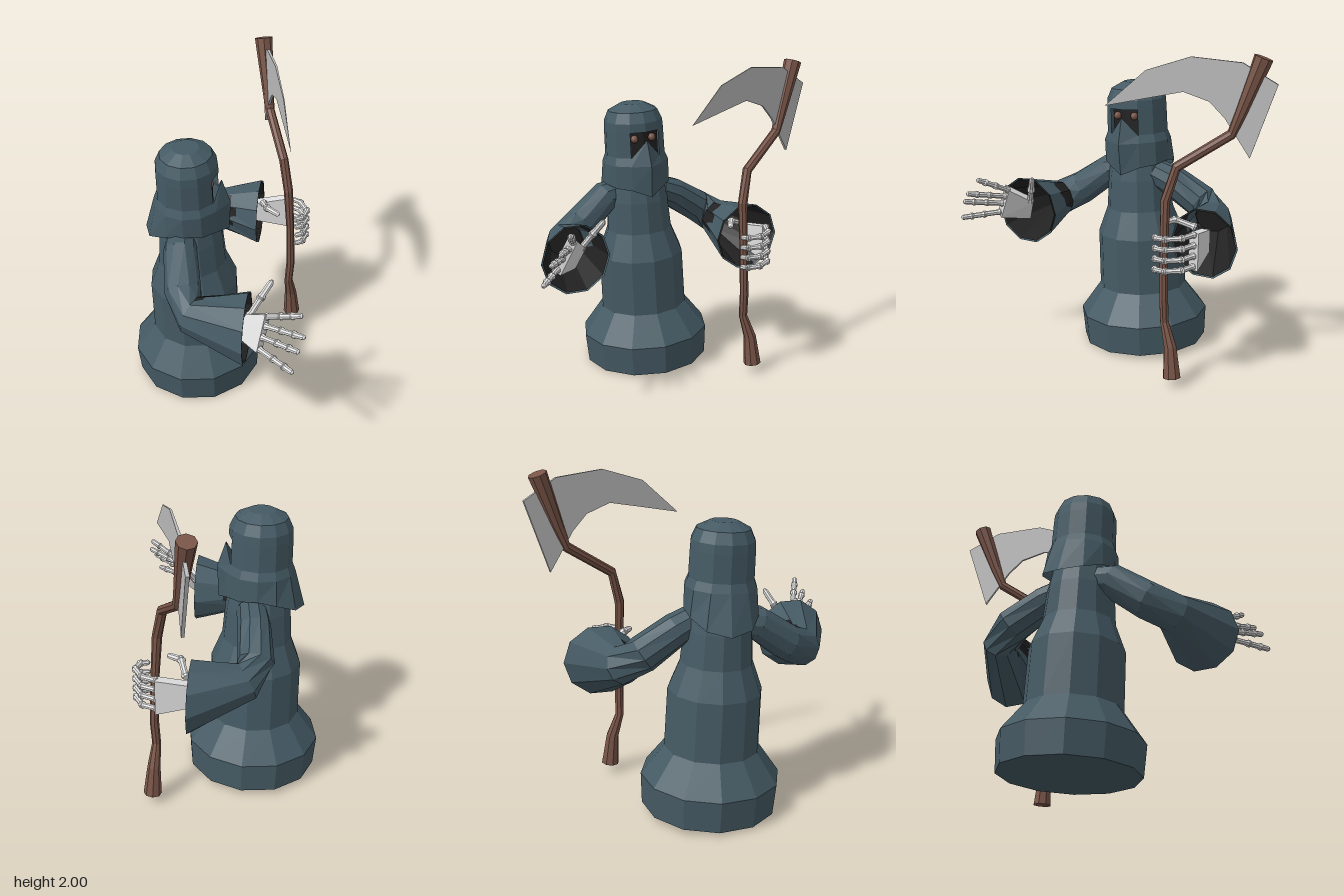
import * as THREE from 'three';
import { ConvexGeometry } from 'three/addons/geometries/ConvexGeometry.js';

const V = (p) => new THREE.Vector3(...p);
const FORWARD = new THREE.Vector3(0.79, 0, -0.61); // the way the figure faces

// Joins rings of points (listed along the axis) into a flat-faced skin
function skin(rings, { start = false, end = false, skip = () => false } = {}) {
  const pos = [];
  const tri = (...pts) => pts.forEach((p) => pos.push(p.x, p.y, p.z));
  const n = rings[0].length;
  for (let i = 0; i < rings.length - 1; i++) {
    for (let j = 0; j < n; j++) {
      if (skip(i, j)) continue;
      const k = (j + 1) % n;
      const [a, b, c, d] = [rings[i][j], rings[i][k], rings[i + 1][k], rings[i + 1][j]];
      tri(a, b, c);
      tri(a, c, d);
    }
  }
  const cap = (ring, flip) => {
    const mid = ring.reduce((s, p) => s.add(p), new THREE.Vector3()).divideScalar(n);
    ring.forEach((p, j) => {
      const q = ring[(j + 1) % n];
      if (flip) tri(mid, q, p);
      else tri(mid, p, q);
    });
  };
  if (start) cap(rings[0], true);
  if (end) cap(rings[rings.length - 1], false);
  const geo = new THREE.BufferGeometry();
  geo.setAttribute('position', new THREE.Float32BufferAttribute(pos, 3));
  geo.computeVertexNormals();
  return geo;
}

// Round tube through [x, y, z, radius] stations; the last ring may face a given way
function tube(stations, sides, ref, caps, lastNormal) {
  const c = stations.map((s) => V(s.slice(0, 3)));
  const rings = stations.map((s, i) => {
    let n = c[Math.min(i + 1, c.length - 1)].clone().sub(c[Math.max(i - 1, 0)]).normalize();
    if (lastNormal && i === c.length - 1) n = lastNormal.clone().normalize();
    const u = new THREE.Vector3().crossVectors(ref, n).normalize();
    const v = new THREE.Vector3().crossVectors(n, u);
    return Array.from({ length: sides }, (_, j) => {
      const a = (j / sides) * Math.PI * 2;
      return c[i].clone().addScaledVector(u, s[3] * Math.cos(a)).addScaledVector(v, s[3] * Math.sin(a));
    });
  });
  return skin(rings, caps);
}

// Twelve-sided ring around y; angle 0 is the front, shape(cos) gives [radius, y]
function ring(shape, offset = 0) {
  return Array.from({ length: 12 }, (_, j) => {
    const a = (j / 12) * Math.PI * 2;
    const [r, y] = shape(Math.cos(a), j);
    return new THREE.Vector3(r * Math.sin(a + offset), y, r * Math.cos(a + offset));
  });
}

export function createModel() {
  const model = new THREE.Group();
  model.name = 'hoodedReaper';
  const material = (name, color, side = THREE.FrontSide) =>
    Object.assign(new THREE.MeshStandardMaterial({ color, side }), { name });
  const cloth = material('clothBlueGrey', 0x455a64, THREE.DoubleSide);
  const dark = material('shadowBlack', 0x212121, THREE.DoubleSide);
  const bone = material('boneWhite', 0xe0e0e0);
  const steel = material('bladeGrey', 0xbdbdbd, THREE.DoubleSide);
  const wood = material('woodBrown', 0x795548);
  const add = (parent, name, geo, mat) => {
    const mesh = new THREE.Mesh(geo, mat);
    mesh.name = name;
    parent.add(mesh);
    return mesh;
  };
  const UP = new THREE.Vector3(0, 1, 0);

  // Robe and hood, leaning slightly
  const figure = new THREE.Group();
  figure.name = 'figure';
  figure.position.set(-0.378, 0.022, 0.22);
  figure.rotation.set(0.04, Math.atan2(FORWARD.x, FORWARD.z), -0.03, 'XZY');
  model.add(figure);
  const robe = [[0.405, 0], [0.418, 0.19], [0.285, 0.37], [0.28, 0.73], [0.215, 0.9], [0.2, 1.1], [0.17, 1.28]];
  add(figure, 'robe', skin(robe.map((p) => ring(() => p, -0.1)), { start: true, end: true }), cloth);

  // Hood: pointed drape behind, creased veil in front, open at the eyes
  const hood = [
    ring((f, j) => (j === 0 ? [0.24, 1.15] : f < 0 ? [0.215 + 0.065 * f * f, 1.22 - 0.1 * f * f] : [0.212, 1.22 - 0.03 * f])),
    ring((f, j) => [j === 0 ? 0.255 : 0.213, 1.35]),
    ring((f, j) => (j === 0 ? [0.205, 1.51] : [0.193, 1.4])),
    ring(() => [0.19, 1.56]),
    ring(() => [0.187, 1.615]),
    ring(() => [0.157, 1.68]),
    ring(() => [0.08, 1.72]),
  ];
  add(figure, 'hood', skin(hood, { end: true, skip: (i, j) => i === 2 && (j === 0 || j === 11) }), cloth);
  const hollow = [[0.15, 1.34], [0.15, 1.6]].map((p) => ring(() => p));
  add(figure, 'faceHollow', skin(hollow, { start: true, end: true }), dark);
  for (const s of [-1, 1]) {
    const eye = add(figure, s < 0 ? 'leftEye' : 'rightEye', new THREE.SphereGeometry(0.025, 8, 6), wood);
    eye.position.set(s * 0.06, 1.515, 0.145);
  }

  // Arms with flared sleeves and dark linings
  const arms = {
    openArm: [[-0.31, 1.16, 0.36, 0.09], [-0.23, 1.14, 0.45, 0.1], [-0.07, 0.99, 0.58, 0.11],
      [0.06, 0.92, 0.635, 0.115], [0.36, 0.9, 0.47, 0.22]],
    grippingArm: [[-0.4, 1.17, 0.14, 0.09], [-0.49, 1.12, 0.06, 0.1], [-0.63, 1.0, -0.08, 0.11],
      [-0.655, 0.93, -0.19, 0.115], [-0.46, 0.855, -0.45, 0.22]],
  };
  for (const [name, path] of Object.entries(arms)) {
    add(model, name, tube(path, 10, UP, { start: true }, FORWARD), cloth);
    const lining = path.slice(-2).map(([x, y, z, r]) => [x, y, z, r * 0.95]);
    add(model, name + 'Lining', tube(lining, 10, UP, { start: true }, FORWARD), dark);
  }

  // Finger bones: each length waisted, with knobs at the joints
  const finger = (parent, name, points, r = 0.021) => {
    const group = new THREE.Group();
    group.name = name;
    parent.add(group);
    for (let i = 0; i < points.length - 1; i++) {
      const [a, b] = [V(points[i]), V(points[i + 1])];
      const last = i === points.length - 2;
      const stations = [[-0.06, 0.8], [0.05, 1.12], [0.18, 0.82], [last ? 0.75 : 0.82, 0.8], [last ? 0.9 : 0.95, last ? 0.72 : 1.12], [1.03, last ? 0.25 : 0.8]];
      const path = stations.map(([t, k]) => [...a.clone().lerp(b, t).toArray(), r * k]);
      add(group, 'fingerBone', tube(path, 8, new THREE.Vector3(0.2, 1, 0.3), { start: true, end: true }), bone);
    }
  };
  // Palm: a plate from two wrist corners to two knuckle corners
  const palm = (parent, corners, thick) => {
    const t = V(thick);
    const pts = corners.flatMap((p) => [V(p).add(t), V(p).sub(t)]);
    add(parent, 'palm', new ConvexGeometry(pts), bone);
  };
  const hand = (name) => {
    const g = new THREE.Group();
    g.name = name;
    model.add(g);
    return g;
  };

  // Open hand
  const open = hand('openHand');
  palm(open, [[0.34, 0.98, 0.44], [0.34, 0.85, 0.51], [0.5, 1.075, 0.44], [0.53, 0.87, 0.54]], [0.004, 0.015, 0.026]);
  const spread = [
    [[0.49, 1.055, 0.445], [0.71, 1.16, 0.385]],
    [[0.505, 1.01, 0.47], [0.77, 1.065, 0.425]],
    [[0.515, 0.955, 0.505], [0.78, 1.0, 0.48]],
    [[0.525, 0.89, 0.535], [0.785, 0.88, 0.53]],
  ];
  spread.forEach(([a, b], i) => {
    const pts = [0, 0.42, 0.74, 1].map((t) => V(a).lerp(V(b), t).toArray());
    finger(open, 'openFinger' + (i + 1), pts);
  });
  finger(open, 'openThumb', [[0.35, 0.97, 0.44], [0.365, 1.07, 0.36], [0.38, 1.16, 0.285]], 0.024);

  // Gripping hand, fingers curled around the shaft
  const grip = hand('grippingHand');
  palm(grip, [[-0.48, 0.94, -0.43], [-0.48, 0.8, -0.43], [-0.32, 0.98, -0.59], [-0.32, 0.75, -0.59]], [0.02, 0, 0.02]);
  [0.97, 0.905, 0.84, 0.775].forEach((y, i) => {
    const curl = [[-0.325, -0.585], [-0.235, -0.61], [-0.145, -0.575], [-0.115, -0.505], [-0.14, -0.455]];
    finger(grip, 'curledFinger' + (i + 1), curl.map(([x, z], k) => [x, y - 0.006 * k, z]));
  });
  finger(grip, 'curledThumb', [[-0.41, 0.96, -0.43], [-0.31, 1.0, -0.365], [-0.21, 0.99, -0.375]], 0.024);

  // Scythe shaft, crooked and thick at both ends
  const shaft = [
    [-0.225, 0.06, -0.535, 0.056], [-0.22, 0.25, -0.515, 0.04], [-0.2, 0.4, -0.47, 0.027], [-0.19, 0.55, -0.475, 0.028],
    [-0.19, 0.85, -0.465, 0.026], [-0.2, 1.15, -0.45, 0.03], [-0.26, 1.35, -0.465, 0.03],
    [-0.53, 1.55, -0.61, 0.03], [-0.575, 1.68, -0.635, 0.037], [-0.67, 1.985, -0.69, 0.056],
  ];
  add(model, 'scytheShaft', tube(shaft, 8, new THREE.Vector3(1, 0, 0), { start: true, end: true }), wood);

  // Scythe blade: curved cutting edge ahead, short spike behind
  const outline = [[0, 1.84], [0.2, 1.955], [0.49, 1.98], [0.75, 1.895], [0.99, 1.68],
    [0.74, 1.735], [0.53, 1.78], [0.38, 1.73], [0.29, 1.64], [0.14, 1.415]];
  const shape = new THREE.Shape(outline.map(([x, y]) => new THREE.Vector2(x, y)));
  const geo = new THREE.ExtrudeGeometry(shape, { depth: 0.02, bevelEnabled: false });
  geo.translate(0, 0, -0.01);
  // thin the blade toward its point
  const p = geo.attributes.position;
  for (let i = 0; i < p.count; i++) p.setZ(i, p.getZ(i) * (1.05 - p.getX(i)));
  geo.computeVertexNormals();
  const blade = add(model, 'scytheBlade', geo, steel);
  blade.position.set(-0.735, 0, -0.75);
  blade.rotation.y = -Math.atan2(0.57, 0.8);

  return model;
}
